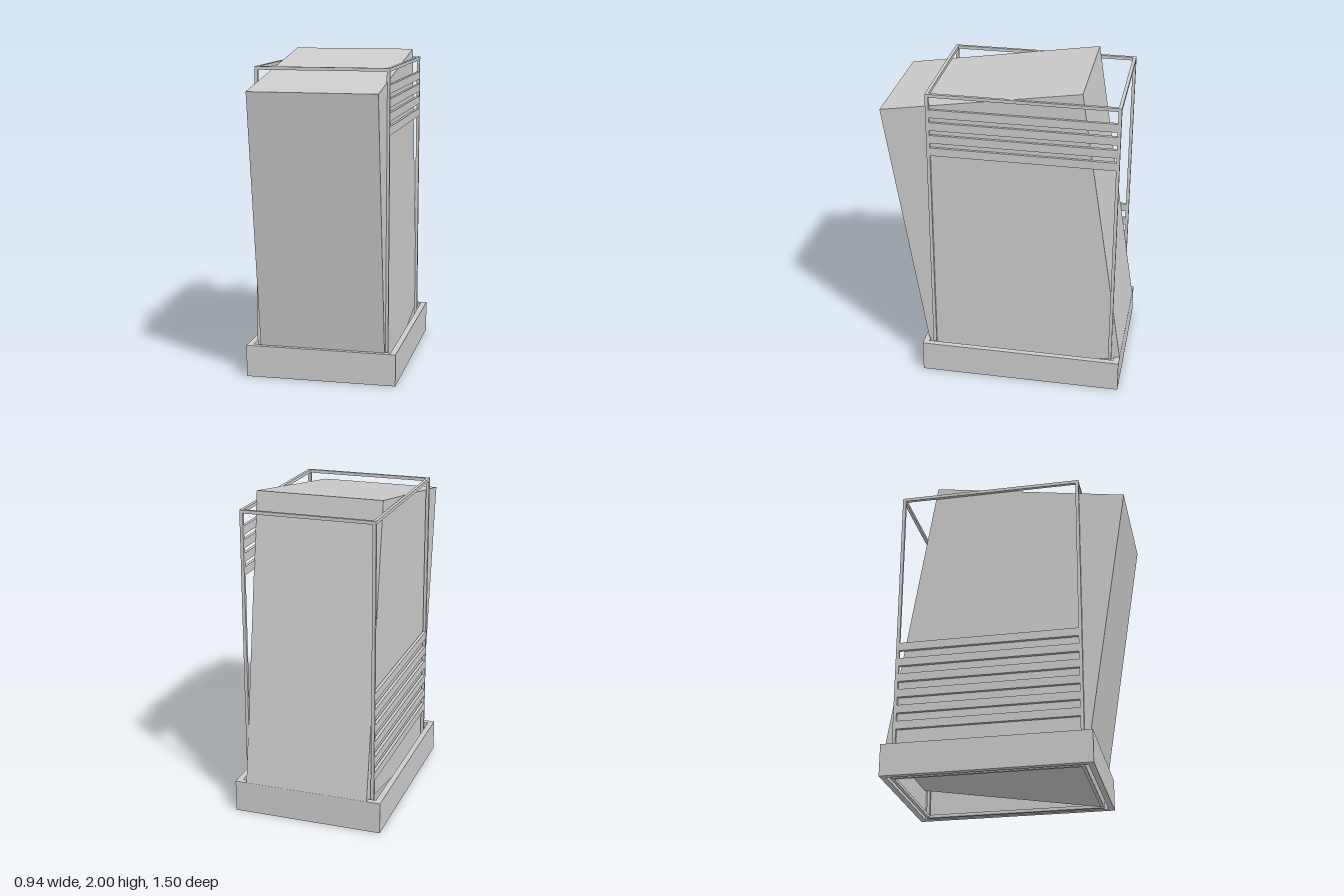
import * as THREE from 'three';

const material = new THREE.MeshStandardMaterial({ color: 0xcccccc, flatShading: true });

function add(parent, name, geometry) {
  const mesh = new THREE.Mesh(geometry, material);
  mesh.name = name;
  parent.add(mesh);
  return mesh;
}

// Box given by its extents on each axis
function block(parent, name, x0, x1, y0, y1, z0, z1) {
  const mesh = add(parent, name, new THREE.BoxGeometry(x1 - x0, y1 - y0, z1 - z0));
  mesh.position.set((x0 + x1) / 2, (y0 + y1) / 2, (z0 + z1) / 2);
  return mesh;
}

// Rectangular ring lying flat, with walls of thickness t
function ring(parent, name, x0, x1, z0, z1, t, y, height) {
  const rect = (P, a, b, c, d) => {
    const p = new P();
    p.moveTo(a, c);
    p.lineTo(b, c);
    p.lineTo(b, d);
    p.lineTo(a, d);
    p.closePath();
    return p;
  };
  const shape = rect(THREE.Shape, x0, x1, -z1, -z0);
  shape.holes.push(rect(THREE.Path, x0 + t, x1 - t, -z1 + t, -z0 - t));
  const geometry = new THREE.ExtrudeGeometry(shape, { depth: height, bevelEnabled: false });
  geometry.rotateX(-Math.PI / 2);
  add(parent, name, geometry).position.y = y;
}

export function createModel() {
  const model = new THREE.Group();
  model.name = 'leaningTower';

  // Hollow plinth, open above and below
  ring(model, 'base', -0.473, 0.471, -0.75, 0.528, 0.036, 0, 0.2);

  // Solid body leaning forward
  const body = add(model, 'leaningBody', new THREE.BoxGeometry(0.786, 1.825, 1.235));
  body.position.set(0.005, 1.0, 0.002);
  body.rotation.x = THREE.MathUtils.degToRad(8.95);

  // Upright wire frame
  const frame = new THREE.Group();
  frame.name = 'frame';
  model.add(frame);
  const t = 0.02, left = 0.414, right = -0.417, back = -0.696, front = 0.469, top = 1.933;
  ring(frame, 'topRail', right, left, back, front, t, top - t, t);
  ring(frame, 'bottomRail', right, left, back, front, t, 0, t);
  for (const x of [right, left - t]) {
    for (const z of [back, front - t]) {
      block(frame, 'post', x, x + t, t, top - t, z, z + t);
    }
  }

  // Horizontal slats: high on the left side, low on the right side
  function slats(name, x, count, topY, pitch) {
    const group = new THREE.Group();
    group.name = name;
    model.add(group);
    for (let i = 0; i < count; i++) {
      const y = topY - i * pitch;
      block(group, 'slat', x, x + t, y - 0.052, y, back + t, front - t);
    }
  }
  slats('upperSlats', left - t, 4, 1.834, 0.083);
  slats('lowerSlats', right, 6, 0.884, 0.104);

  return model;
}
